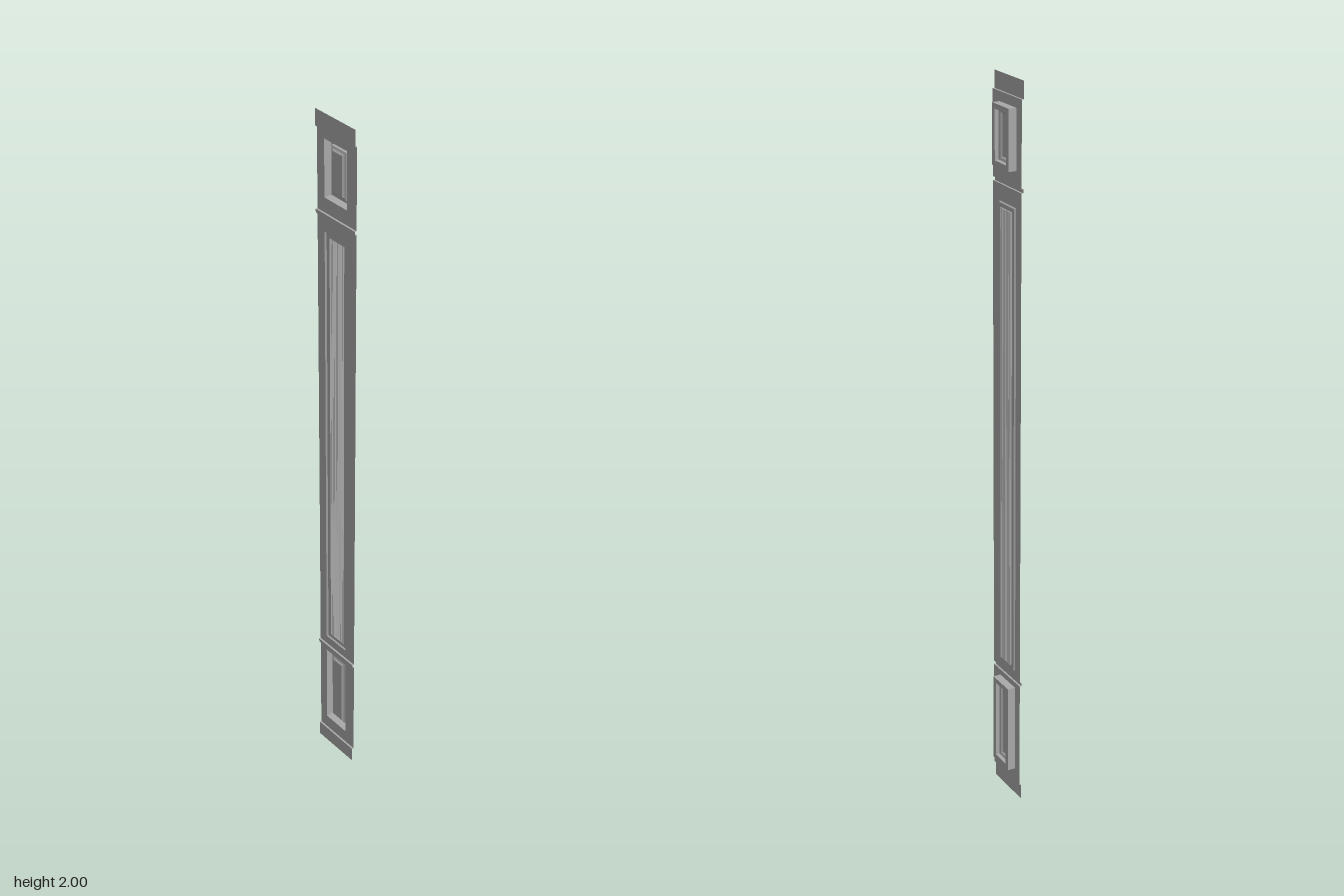
import * as THREE from 'three';

const mat = new THREE.MeshStandardMaterial({ color: 0xa9a9a9, side: THREE.DoubleSide, flatShading: true });
const HALF_W = 0.073; // half width of the pilaster
const FACE = 0.008; // z of the panel faces
const FRONT = 0.0135; // z of the projecting bands
const BACK = -0.0135; // z of the deepest recess floor
const LEFT = -0.0465, RIGHT = 0.037; // sides of the recesses

// Joins consecutive rows of points with quads
function loft(rows, name) {
  const pos = [];
  for (let i = 0; i < rows.length - 1; i++) {
    const a = rows[i], b = rows[i + 1];
    for (let j = 0; j < a.length - 1; j++) {
      pos.push(...a[j], ...a[j + 1], ...b[j + 1], ...a[j], ...b[j + 1], ...b[j]);
    }
  }
  const geo = new THREE.BufferGeometry();
  geo.setAttribute('position', new THREE.Float32BufferAttribute(pos, 3));
  geo.computeVertexNormals();
  const mesh = new THREE.Mesh(geo, mat);
  mesh.name = name;
  return mesh;
}

// Closed rectangle of corners, counter-clockwise from the front
function rectRow(x0, x1, y0, y1, z) {
  return [[x0, y0, z], [x1, y0, z], [x1, y1, z], [x0, y1, z], [x0, y0, z]];
}

// Nested rectangles given as [inset, z] steps; optionally filled in the middle
function steppedPanel(y0, y1, steps, fill, name) {
  const rows = steps.map(([d, z]) => rectRow(LEFT + d, RIGHT - d, y0 + d, y1 - d, z));
  if (fill) {
    const c = [(LEFT + RIGHT) / 2, (y0 + y1) / 2, steps.at(-1)[1]];
    rows.push([c, c, c, c, c]);
  }
  return loft(rows, name);
}

// Flat sheet with a rectangular opening
function facing(y0, y1, hole0, hole1, name) {
  return loft([
    rectRow(-HALF_W, HALF_W, y0, y1, FACE),
    rectRow(LEFT, RIGHT, hole0, hole1, FACE),
  ].reverse(), name);
}

// Strip across the full width following a [y, z] profile, bottom to top
function band(profile, name) {
  return loft(profile.map(([y, z]) => [[-HALF_W, y, z], [HALF_W, y, z]]), name);
}

// Vertical flutes with closed ends
function flutedField(x0, x1, y0, y1, z, count, depth) {
  const group = new THREE.Group();
  group.name = 'flutedField';
  const pitch = (x1 - x0) / count, r = pitch * 0.42;
  const pts = [[x0, z]];
  for (let i = 0; i < count; i++) {
    const cx = x0 + (i + 0.5) * pitch;
    for (let k = 0; k <= 8; k++) {
      const a = Math.PI * (k / 8);
      pts.push([cx - r * Math.cos(a), z - depth * Math.sin(a)]);
    }
  }
  pts.push([x1, z]);
  const row = y => pts.map(([x, d]) => [x, y, d]);
  group.add(loft([row(y0), row(y1)], 'flutes'));
  for (const y of [y0, y1]) {
    const flat = pts.map(([x]) => [x, y, z]);
    group.add(loft([row(y), flat], 'fluteEnd'));
  }
  return group;
}

export function createModel() {
  const model = new THREE.Group();
  model.name = 'panelledPilaster';

  // Projecting plinth, cap and the two thin mouldings
  model.add(band([[0, FRONT], [0.045, FRONT], [0.045, FACE]], 'plinth'));
  model.add(band([[0.356, FACE], [0.356, FRONT], [0.366, FRONT], [0.366, FACE]], 'lowerMoulding'));
  model.add(band([[1.725, FACE], [1.725, FRONT], [1.735, FRONT], [1.735, FACE]], 'upperMoulding'));
  model.add(band([[1.955, FACE], [1.955, FRONT], [2, FRONT]], 'cap'));

  // Flat facings around the three panels
  model.add(facing(0.045, 0.356, 0.085, 0.34, 'lowerFacing'));
  model.add(facing(0.366, 1.725, 0.392, 1.682, 'shaftFacing'));
  model.add(facing(1.735, 1.955, 1.775, 1.93, 'upperFacing'));

  // Deep recesses with a raised, bevelled centre
  const raised = [[0, FACE], [0, BACK], [0.0135, BACK], [0.0145, -0.003], [0.02, -0.001], [0.024, 0.003]];
  model.add(steppedPanel(0.085, 0.34, raised, true, 'lowerPanel'));
  model.add(steppedPanel(1.775, 1.93, raised, true, 'upperPanel'));

  // Shallow frame and fluted shaft
  const d = 0.0135;
  model.add(steppedPanel(0.392, 1.682, [[0, FACE], [0.003, 0.004], [d, 0.004]], false, 'shaftFrame'));
  model.add(flutedField(LEFT + d, RIGHT - d, 0.392 + d, 1.682 - d, 0.004, 9, 0.005));

  return model;
}
